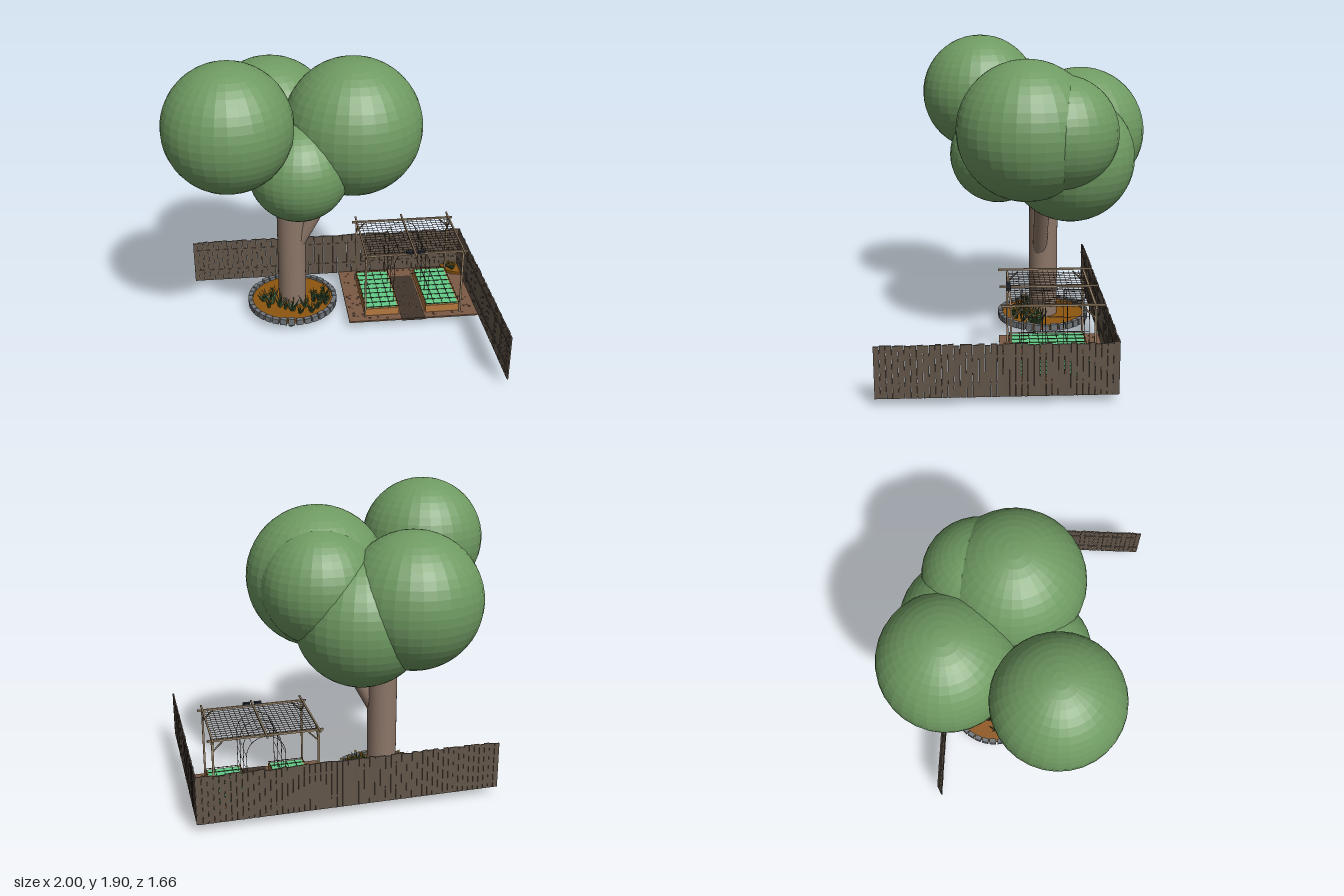
import * as THREE from 'three';
import { mergeGeometries } from 'three/addons/utils/BufferGeometryUtils.js';

const mat = (color, flat = true) => new THREE.MeshStandardMaterial({ color, flatShading: flat });
const WOOD = mat(0x9a8468), FENCE = mat(0x63564a), BARK = mat(0x8c7668, false), LEAF = mat(0x6f9a62);
const BED = mat(0xb87a40), CROP = mat(0x62cc88), SOIL = mat(0x7a5a45), MULCH = mat(0x8e5510);
const STONE = mat(0x707478), PLANT = mat(0x3f5a34), FLOWER = mat(0xc98a20), WIRE = mat(0x40352c), DARK = mat(0x20242c);

let seed = 7;
const rnd = (a, b) => {
  seed = (seed * 16807) % 2147483647;
  return a + (b - a) * seed / 2147483647;
};

// box from its minimum to its maximum corner
const box = (x0, x1, y0, y1, z0, z1) =>
  new THREE.BoxGeometry(x1 - x0, y1 - y0, z1 - z0).translate((x0 + x1) / 2, (y0 + y1) / 2, (z0 + z1) / 2);

// rod between two points
function rod(a, b, r, r2 = r, sides = 6) {
  const p = new THREE.Vector3(...a), d = new THREE.Vector3(...b).sub(p), len = d.length();
  const q = new THREE.Quaternion().setFromUnitVectors(new THREE.Vector3(0, 1, 0), d.normalize());
  return new THREE.CylinderGeometry(r2, r, len, sides).translate(0, len / 2, 0).applyQuaternion(q).translate(...a);
}

export function createModel() {
  const root = new THREE.Group();
  const add = (name, geos, material) => {
    const mesh = new THREE.Mesh(Array.isArray(geos) ? mergeGeometries(geos) : geos, material);
    mesh.name = name;
    root.add(mesh);
  };

  // tree: trunk, branch and foliage balls
  add('trunk', new THREE.CylinderGeometry(0.093, 0.093, 1.05, 32).translate(-0.235, 0.575, -0.175), BARK);
  add('branch', rod([-0.2, 0.51, -0.15], [0.05, 0.98, -0.15], 0.045, 0.05, 20), BARK);
  [
    [-0.615, 1.515, 0.23, 0.385], [0.15, 1.38, -0.045, 0.43], [0.18, 1.37, -0.25, 0.35],
    [-0.34, 1.295, -0.42, 0.415], [-0.05, 1.175, -0.33, 0.405], [-0.2, 1.17, 0.12, 0.31],
  ].forEach(([x, y, z, r], i) =>
    add('foliage' + (i + 1), new THREE.SphereGeometry(r, 32, 24).translate(x, y, z), LEAF));

  // fences: rows of uneven planks along the back and the left side
  const planks = (length, place) => {
    const n = Math.round(length / 0.0335), step = length / n, out = [];
    for (let i = 0; i < n; i++) {
      const h = rnd(0.3, 0.312);
      out.push(place(new THREE.BoxGeometry(step * 0.95, h, 0.008)
        .rotateY(rnd(-0.1, 0.1)).translate(0, 0.05 + h / 2, 0), (i + 0.5) * step));
    }
    return out;
  };
  add('backFence', planks(1.89, (g, t) => g.translate(-0.9 + t, 0, -0.51)), FENCE);
  add('sideFence', planks(1.34, (g, t) => g.rotateY(Math.PI / 2).translate(0.99, 0, -0.51 + t)), FENCE);
  add('fenceRails', [
    ...[0.12, 0.28].map(y => box(-0.9, 0.985, y, y + 0.015, -0.51, -0.503)),
    ...[0.12, 0.28].map(y => box(0.983, 0.99, y, y + 0.015, -0.51, 0.83)),
  ], FENCE);

  // round flower bed with a stone border
  const cx = -0.235, cz = -0.175;
  add('mulch', new THREE.CylinderGeometry(0.285, 0.285, 0.02, 40).translate(cx, 0.065, cz), MULCH);
  const stones = [];
  for (let i = 0; i < 34; i++) {
    const h = rnd(0.036, 0.046);
    stones.push(new THREE.BoxGeometry(0.03, h, 0.044).translate(0.285, 0.052 + h / 2, 0)
      .rotateY(i / 34 * Math.PI * 2).translate(cx, 0, cz));
  }
  add('stoneBorder', stones, STONE);

  // plants: tilted leaf cones with small blossoms
  const leaves = [], blossoms = [];
  function plant(x, y, z, h) {
    for (let k = 0; k < 6; k++) {
      leaves.push(new THREE.ConeGeometry(h * 0.12, h, 4).translate(0, h / 2, 0)
        .rotateZ(rnd(0.15, 0.7)).rotateY(k * 1.05 + rnd(0, 0.5)).translate(x, y, z));
    }
    for (let k = 0; k < 3; k++) {
      blossoms.push(new THREE.IcosahedronGeometry(0.007, 0)
        .translate(x + rnd(-0.3, 0.3) * h, y + h * rnd(0.7, 0.95), z + rnd(-0.3, 0.3) * h));
    }
  }
  for (let i = 0; i < 18; i++) {
    const a = rnd(2.9, 6.4), r = rnd(0.13, 0.24);
    plant(cx + r * Math.cos(a), 0.07, cz - r * Math.sin(a), rnd(0.06, 0.12));
  }
  for (let i = 0; i < 9; i++) {
    const a = rnd(3.2, 6.2), r = rnd(0.14, 0.24);
    const x = cx + r * Math.cos(a), z = cz - r * Math.sin(a);
    leaves.push(new THREE.ConeGeometry(0.017, 0.06, 5).translate(x, i ? 0.04 : 0.03, z));
  }

  // corner planting
  add('cornerMulch', new THREE.CylinderGeometry(0.125, 0.125, 0.02, 16, 1, false, -Math.PI / 2, Math.PI / 2)
    .translate(0.985, 0.065, -0.505).applyMatrix4(new THREE.Matrix4()
      .makeTranslation(0.985, 0, -0.505).multiply(new THREE.Matrix4().makeRotationY(Math.PI / 2))
      .multiply(new THREE.Matrix4().makeTranslation(-0.985, 0, 0.505)))
    .translate(0, 0, 0).rotateY(0), MULCH);
  const corner = root.children[root.children.length - 1];
  corner.geometry = new THREE.CylinderGeometry(0.125, 0.125, 0.02, 16, 1, false, Math.PI * 1.5, Math.PI / 2)
    .translate(0.985, 0.065, -0.505);
  for (let i = 0; i < 7; i++) plant(0.985 - rnd(0.02, 0.085), 0.07, -0.505 + rnd(0.02, 0.085), rnd(0.03, 0.06));
  add('plantLeaves', leaves, PLANT);
  add('blossoms', blossoms, FLOWER);

  // garden floor with loose clods and the path between the beds
  add('gardenFloor', box(0.12, 0.985, 0.046, 0.056, -0.505, 0.13), SOIL);
  add('path', box(0.47, 0.63, 0.042, 0.058, -0.4, 0.132), WIRE);
  const clods = [];
  for (let i = 0; i < 150; i++) {
    clods.push(new THREE.IcosahedronGeometry(rnd(0.004, 0.01), 0).scale(1, 0.6, 1)
      .translate(rnd(0.14, 0.97), 0.057, rnd(-0.49, 0.12)));
  }
  add('clods', clods, SOIL);

  // raised beds, crops and netting bars
  for (const [i, x] of [0.23, 0.64].entries()) {
    const x1 = x + 0.23, z0 = -0.4, z1 = 0.07, t = 0.01, bars = [];
    add('raisedBed' + (i + 1), [
      box(x, x1, 0.055, 0.108, z0, z0 + t), box(x, x1, 0.055, 0.108, z1 - t, z1),
      box(x, x + t, 0.055, 0.108, z0 + t, z1 - t), box(x1 - t, x1, 0.055, 0.108, z0 + t, z1 - t),
    ], BED);
    add('crops' + (i + 1), box(x + t, x1 - t, 0.056, 0.11, z0 + t, z1 - t), CROP);
    for (let k = 0; k <= 8; k++) {
      const z = z0 + 0.006 + k * 0.0573;
      bars.push(box(x, x1, 0.117, 0.12, z - 0.002, z + 0.002));
    }
    for (let k = 0; k <= 4; k++) {
      const bx = x + 0.004 + k * 0.0555;
      bars.push(box(bx - 0.0015, bx + 0.0015, 0.117, 0.12, z0, z1));
    }
    add('bedGrid' + (i + 1), bars, WIRE);
  }

  // pergola: posts, beams and corner braces
  const X = [0.23, 0.87], Z = [-0.39, 0.08], frame = [];
  for (const x of X) for (const z of Z) {
    const sx = x < 0.5 ? 1 : -1, sz = z < 0 ? 1 : -1;
    frame.push(box(x - 0.006, x + 0.006, 0.05, 0.53, z - 0.006, z + 0.006));
    frame.push(rod([x, 0.45, z], [x + sx * 0.065, 0.515, z], 0.005));
    frame.push(rod([x, 0.45, z], [x, 0.515, z + sz * 0.065], 0.005));
  }
  for (const z of Z) frame.push(box(0.2, 0.9, 0.514, 0.526, z - 0.006, z + 0.006));
  for (const x of [...X, 0.55]) frame.push(box(x - 0.005, x + 0.005, 0.524, 0.535, -0.445, 0.135));
  add('pergola', frame, WOOD);

  // roof netting
  const net = [];
  for (let i = 1; i < 20; i++) {
    const x = 0.23 + i * 0.032;
    net.push(box(x - 0.0012, x + 0.0012, 0.516, 0.5185, -0.39, 0.08));
  }
  for (let i = 1; i < 15; i++) {
    const z = -0.39 + i * 0.0313;
    net.push(box(0.23, 0.87, 0.516, 0.5185, z - 0.0012, z + 0.0012));
  }
  add('roofNetting', net, WIRE);

  // wire arches over the path
  class Arch extends THREE.Curve {
    getPoint(t, v = new THREE.Vector3()) {
      const r = 0.118, leg = 0.29, arc = Math.PI * r, s = t * (2 * leg + arc);
      if (s < leg) return v.set(0.55 - r, 0.1 + s, 0);
      if (s > leg + arc) return v.set(0.55 + r, 0.1 + 2 * leg + arc - s, 0);
      const a = Math.PI - (s - leg) / r;
      return v.set(0.55 + r * Math.cos(a), 0.39 + r * Math.sin(a), 0);
    }
  }
  const arch = new Arch(), wires = [];
  for (let i = 0; i < 4; i++) wires.push(new THREE.TubeGeometry(arch, 36, 0.0018, 4).translate(0, 0, -0.38 + i * 0.127));
  for (let i = 1; i < 10; i++) {
    const p = arch.getPoint(i / 10);
    wires.push(rod([p.x, p.y, -0.38], [p.x, p.y, 0.001], 0.0012, 0.0012, 4));
  }
  add('archTrellis', wires, WIRE);

  // lamps on the front beam and the watering hose behind the beds
  add('lamps', [0.515, 0.588].map(x => box(x - 0.023, x + 0.023, 0.526, 0.541, 0.07, 0.095)), DARK);
  const hose = [];
  for (let i = 0; i <= 8; i++) hose.push(new THREE.Vector3(0.63 + i * 0.03, 0.062, -0.42 + (i % 2 ? 0.006 : -0.004)));
  add('hose', new THREE.TubeGeometry(new THREE.CatmullRomCurve3(hose), 32, 0.003, 5), DARK);

  return root;
}
